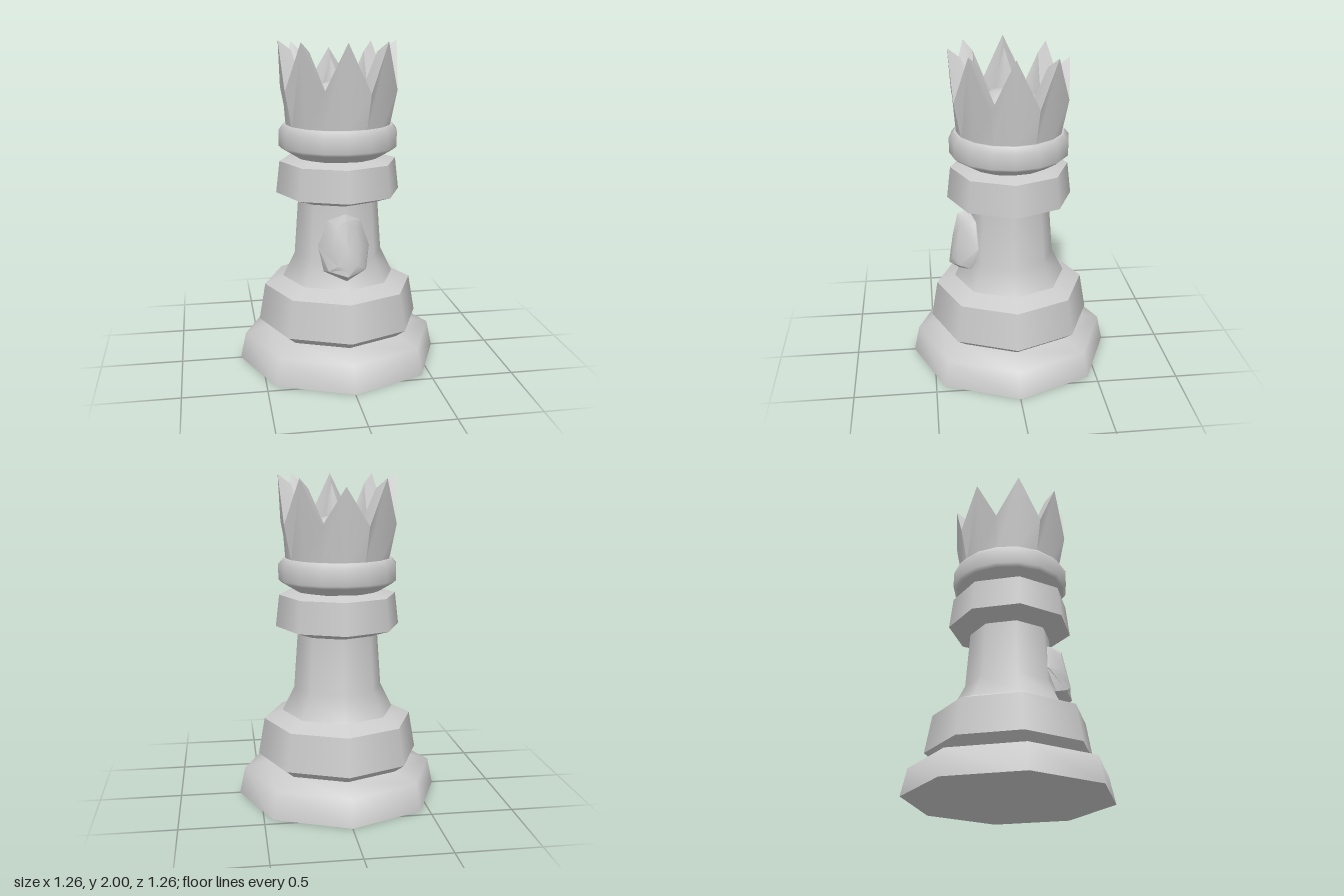
import * as THREE from 'three';
import { mergeGeometries, toCreasedNormals } from 'three/addons/utils/BufferGeometryUtils.js';

const material = new THREE.MeshStandardMaterial({ color: 0xcccccc, side: THREE.DoubleSide });

// Turned part: smooth around, and a sharp edge wherever a new profile run starts.
function turned(name, sides, ...runs) {
  const parts = runs.map((run) =>
    new THREE.LatheGeometry(run.map(([r, y]) => new THREE.Vector2(r, y)), sides));
  const mesh = new THREE.Mesh(mergeGeometries(parts), material);
  mesh.name = name;
  return mesh;
}

// Separate sharp-edged runs for each pair of neighbouring profile points.
const bands = (points) => points.slice(1).map((p, i) => [points[i], p]);

// Skin stretched over closed rings with equal point counts.
function loft(name, rings, crease) {
  const pos = [];
  for (let k = 0; k + 1 < rings.length; k++) {
    const A = rings[k], B = rings[k + 1], n = A.length;
    for (let i = 0; i < n; i++) {
      const j = (i + 1) % n;
      pos.push(...A[j], ...A[i], ...B[i], ...A[j], ...B[i], ...B[j]);
    }
  }
  const geo = new THREE.BufferGeometry();
  geo.setAttribute('position', new THREE.Float32BufferAttribute(pos, 3));
  const mesh = new THREE.Mesh(toCreasedNormals(geo, crease), material);
  mesh.name = name;
  return mesh;
}

// Eight pointed teeth: even columns are tips, odd columns are valleys.
function crown() {
  const ring = (radius, height) => Array.from({ length: 16 }, (_, i) => {
    const a = -i * Math.PI / 8, tip = i % 2 === 0;
    const r = radius(tip, i), y = height(tip, i);
    return [r * Math.sin(a), y, r * Math.cos(a)];
  });
  // the rear teeth are slightly shorter
  const drop = (i) => (i === 8 ? 0.065 : i === 6 || i === 10 ? 0.02 : 0);
  return loft('crown', [
    ring(() => 0.32, () => 1.49),
    ring((tip) => (tip ? 0.36 : 0.365), (tip, i) => (tip ? 2 - drop(i) : 1.71)),
    ring((tip) => (tip ? 0.28 : 0.22), (tip, i) => (tip ? 1.94 - drop(i) : 1.66)),
    ring(() => 0.2, () => 1.5),
  ], 0.6);
}

// Domed oval boss on the front of the stem, leaning forward at its foot.
function boss() {
  const mirror = (half) => [
    ...half,
    ...half.slice(1, -1).reverse().map(([x, y, z]) => [-x, y, z]),
  ];
  const rim = mirror([[0, 0.985, 0.25], [0.1, 0.94, 0.21], [0.155, 0.78, 0.2], [0.13, 0.64, 0.26], [0, 0.59, 0.32]]);
  const edge = mirror([[0, 0.99, 0.26], [0.1, 0.945, 0.22], [0.157, 0.78, 0.21], [0.11, 0.66, 0.33], [0, 0.635, 0.385]]);
  const face = mirror([[0, 0.965, 0.325], [0.055, 0.92, 0.31], [0.08, 0.8, 0.33], [0.06, 0.7, 0.365], [0, 0.68, 0.378]]);
  const back = rim.map(([x, y]) => [x * 0.8, y, 0.18]);
  const centre = rim.map(() => [0, 0.82, 0.358]);
  return loft('frontBoss', [back, rim, edge, face, centre], 0.8);
}

export function createModel() {
  const model = new THREE.Group();
  model.name = 'chessPiece';
  model.add(
    turned('base', 8,
      [[0, 0], [0.63, 0]],
      [[0.63, 0], [0.595, 0.165], [0.44, 0.21]]),
    turned('lowerBand', 8,
      ...bands([[0.44, 0.21], [0.505, 0.26], [0.465, 0.49], [0.35, 0.54]])),
    turned('stem', 8, [[0.35, 0.54], [0.275, 0.69], [0.25, 1.035]]),
    turned('upperBand', 8,
      ...bands([[0.25, 1.035], [0.385, 1.08], [0.362, 1.275], [0.26, 1.305]])),
    turned('collar', 16,
      [[0.26, 1.3], [0.345, 1.352]],
      [[0.345, 1.352], [0.365, 1.37], [0.365, 1.465], [0.335, 1.5]],
      [[0.335, 1.5], [0.2, 1.5]]),
    turned('crownDome', 16,
      [[0.215, 1.5], [0.215, 1.65], [0.17, 1.7], [0.1, 1.74], [0, 1.76]]),
    crown(),
    boss(),
  );
  return model;
}
